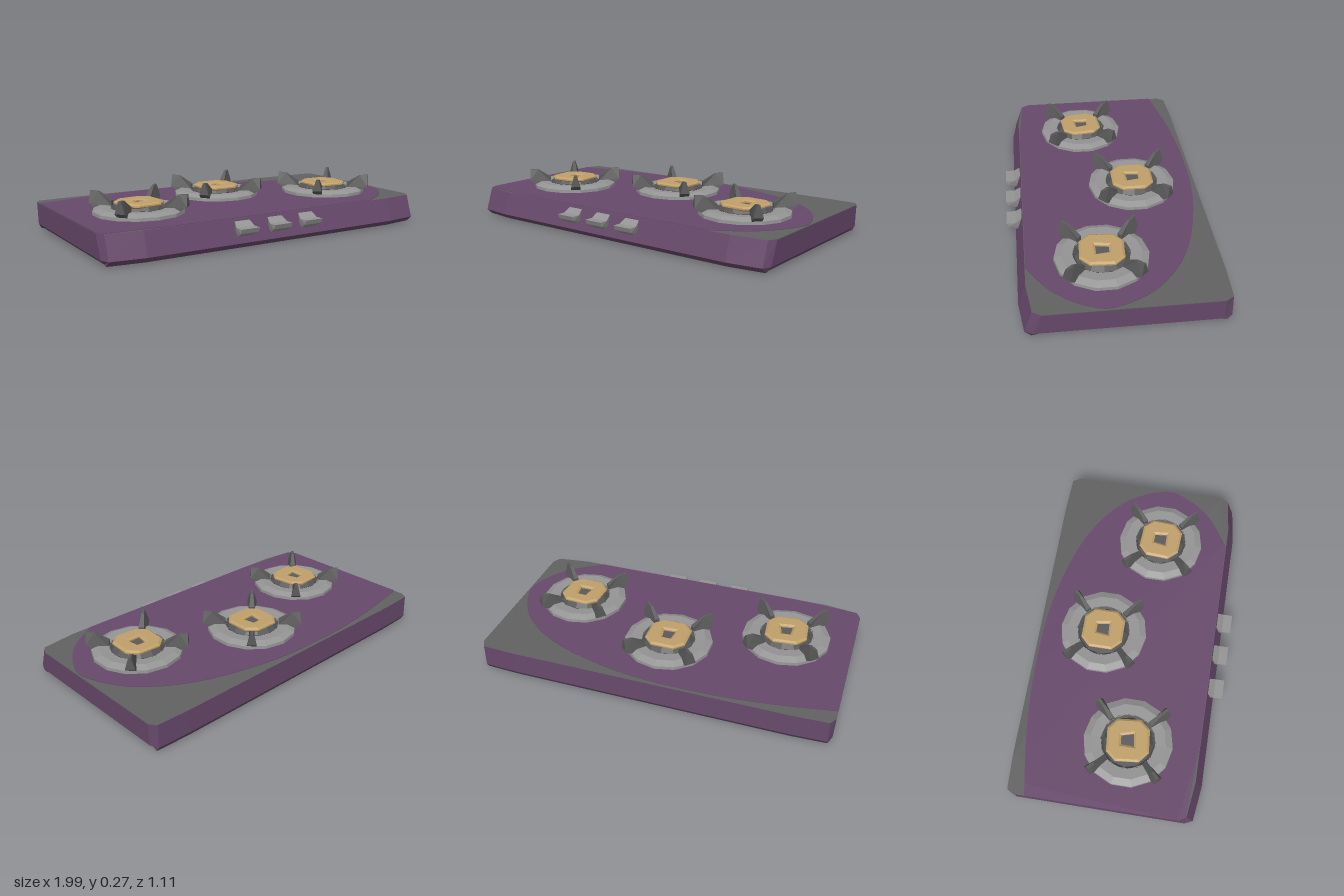
import * as THREE from 'three';

const paint = (name, color) => new THREE.MeshStandardMaterial({ name, color, side: THREE.DoubleSide });

// Facet a geometry so every face is flat
function facet(geo) {
  const g = geo.index ? geo.toNonIndexed() : geo;
  g.computeVertexNormals();
  return g;
}

function part(name, geo, material, parent) {
  const mesh = new THREE.Mesh(facet(geo), material);
  mesh.name = name;
  parent.add(mesh);
  return mesh;
}

// Plan outline of the body, seen from above; front edge depth varies by height
function outline(front, back, side) {
  const half = [[0.78, front], [0.97, front - 0.025], [side, front - 0.07],
    [side, back + 0.05], [0.97, back + 0.008], [0.78, back]];
  return [...half, ...half.map(([x, z]) => [-x, z]).reverse()];
}

// Body walls and underside from stacked outlines
function bodyGeometry() {
  const rings = [
    { pts: outline(0.475, -0.53, 0.96), y: 0.02 },
    { pts: outline(0.508, -0.55, 0.99), y: 0.03 },
    { pts: outline(0.465, -0.546, 0.995), y: 0.156 },
  ];
  const pos = [];
  const idx = [];
  rings.forEach(({ pts, y }, r) => pts.forEach(([x, z]) => {
    // lower corners sag into feet
    const sag = r === 0 && Math.abs(x) > 0.7 && Math.abs(x) < 0.98 ? 0.02 : 0;
    pos.push(x, y - sag, z);
  }));
  const n = rings[0].pts.length;
  for (let r = 0; r < rings.length - 1; r++) {
    for (let i = 0; i < n; i++) {
      const a = r * n + i, b = r * n + (i + 1) % n;
      idx.push(a, b, b + n, a, b + n, a + n);
    }
  }
  const centre = pos.length / 3;
  pos.push(0, 0.02, 0);
  for (let i = 0; i < n; i++) idx.push(centre, (i + 1) % n, i);
  const geo = new THREE.BufferGeometry();
  geo.setAttribute('position', new THREE.Float32BufferAttribute(pos, 3));
  geo.setIndex(idx);
  return geo;
}

// Lay a plan shape (x, -z) flat as a slab starting at height y
function slab(shape, y, depth, options = {}) {
  const geo = new THREE.ExtrudeGeometry(shape, { depth, bevelEnabled: false, ...options });
  return geo.rotateX(-Math.PI / 2).translate(0, y, 0);
}

const planShape = (pts) => new THREE.Shape(pts.map(([x, z]) => new THREE.Vector2(x, -z)));
const lathe = (pts, sides) => new THREE.LatheGeometry(pts.map(([r, y]) => new THREE.Vector2(r, y)), sides);

function createBurner(mats, turn) {
  const burner = new THREE.Group();
  burner.name = 'burner';

  part('outerRing', lathe([[0.25, 0.156], [0.248, 0.176], [0.21, 0.192], [0.15, 0.188]], 14), mats.steel, burner);
  part('innerWall', lathe([[0.153, 0.19], [0.14, 0.172], [0.115, 0.205], [0, 0.205]], 12), mats.iron, burner);

  // Brass cap with a square opening
  const w = 0.105, c = 0.06;
  const cap = planShape([[-c, -w], [c, -w], [w, -c], [w, c], [c, w], [-c, w], [-w, c], [-w, -c]]);
  cap.holes.push(new THREE.Path([[-0.035, -0.05], [-0.045, 0.045], [0.05, 0.04], [0.035, -0.05]]
    .map(([x, z]) => new THREE.Vector2(x, -z))));
  const brass = part('burnerCap', slab(cap, 0.207, 0.008, {
    bevelEnabled: true, bevelThickness: 0.008, bevelSize: 0.012, bevelSegments: 1,
  }), mats.brass, burner);
  brass.rotation.y = turn;

  // Upright pan supports on the diagonals
  const blade = new THREE.Shape([[0.15, 0.185], [0.24, 0.175], [0.275, 0.2], [0.272, 0.266],
    [0.225, 0.262], [0.15, 0.215]].map(([r, y]) => new THREE.Vector2(r, y)));
  for (let i = 0; i < 4; i++) {
    const geo = new THREE.ExtrudeGeometry(blade, { depth: 0.03, bevelEnabled: false }).translate(0, 0, -0.015);
    const p = geo.attributes.position;
    // thin the blade toward its tip, widen its foot
    for (let k = 0; k < p.count; k++) {
      p.setZ(k, p.getZ(k) * (p.getY(k) > 0.25 ? 0.5 : p.getX(k) > 0.2 ? 1.8 : 1));
    }
    part('panSupport', geo, mats.iron, burner).rotation.y = Math.PI / 4 + i * Math.PI / 2;
  }
  return burner;
}

// Wedge knob leaning out of the front face
function knobGeometry() {
  const profile = new THREE.Shape([[0.465, 0.145], [0.505, 0.115], [0.555, 0.115], [0.545, 0.09],
    [0.505, 0.066], [0.475, 0.075]].map(([z, y]) => new THREE.Vector2(z, y)));
  const geo = new THREE.ExtrudeGeometry(profile, { depth: 0.11, bevelEnabled: false });
  geo.translate(0, 0, -0.055).rotateY(-Math.PI / 2);
  const p = geo.attributes.position;
  for (let k = 0; k < p.count; k++) {
    if (p.getY(k) > 0.13 || p.getY(k) < 0.08) p.setX(k, p.getX(k) * 0.8);
  }
  return geo;
}

export function createModel() {
  const mats = {
    purple: paint('purple enamel', 0x67496b),
    plate: paint('dark grey plate', 0x616161),
    steel: paint('steel grey', 0x949494),
    iron: paint('iron grey', 0x5a5a5a),
    brass: paint('brass', 0xc0a06a),
  };
  const model = new THREE.Group();
  model.name = 'gasHob';

  part('body', bodyGeometry(), mats.purple, model);

  // Grey top plate
  part('topPlate', slab(planShape(outline(0.465, -0.546, 0.995)), 0.152, 0.004), mats.plate, model);

  // Purple field with a rounded right end
  const field = new THREE.Shape();
  field.moveTo(-0.995, 0.44);
  field.splineThru([[-0.6, 0.505], [-0.2, 0.528], [0.2, 0.5], [0.6, 0.385], [0.86, 0.2], [0.98, -0.03],
    [0.955, -0.18], [0.84, -0.34], [0.66, -0.462]].map(([x, y]) => new THREE.Vector2(x, y)));
  field.lineTo(-0.6, -0.462);
  field.lineTo(-0.97, -0.435);
  field.lineTo(-0.995, -0.39);
  part('topField', slab(field, 0.156, 0.003), mats.purple, model);

  // Three burners
  for (const [x, z, turn] of [[-0.62, 0.068, 0.1], [0, -0.175, 0], [0.62, 0.068, -0.06]]) {
    const burner = createBurner(mats, turn);
    burner.position.set(x, 0, z);
    model.add(burner);
  }

  // Front knobs
  for (const x of [-0.225, -0.02, 0.18]) part('knob', knobGeometry(), mats.steel, model).position.x = x;

  return model;
}
